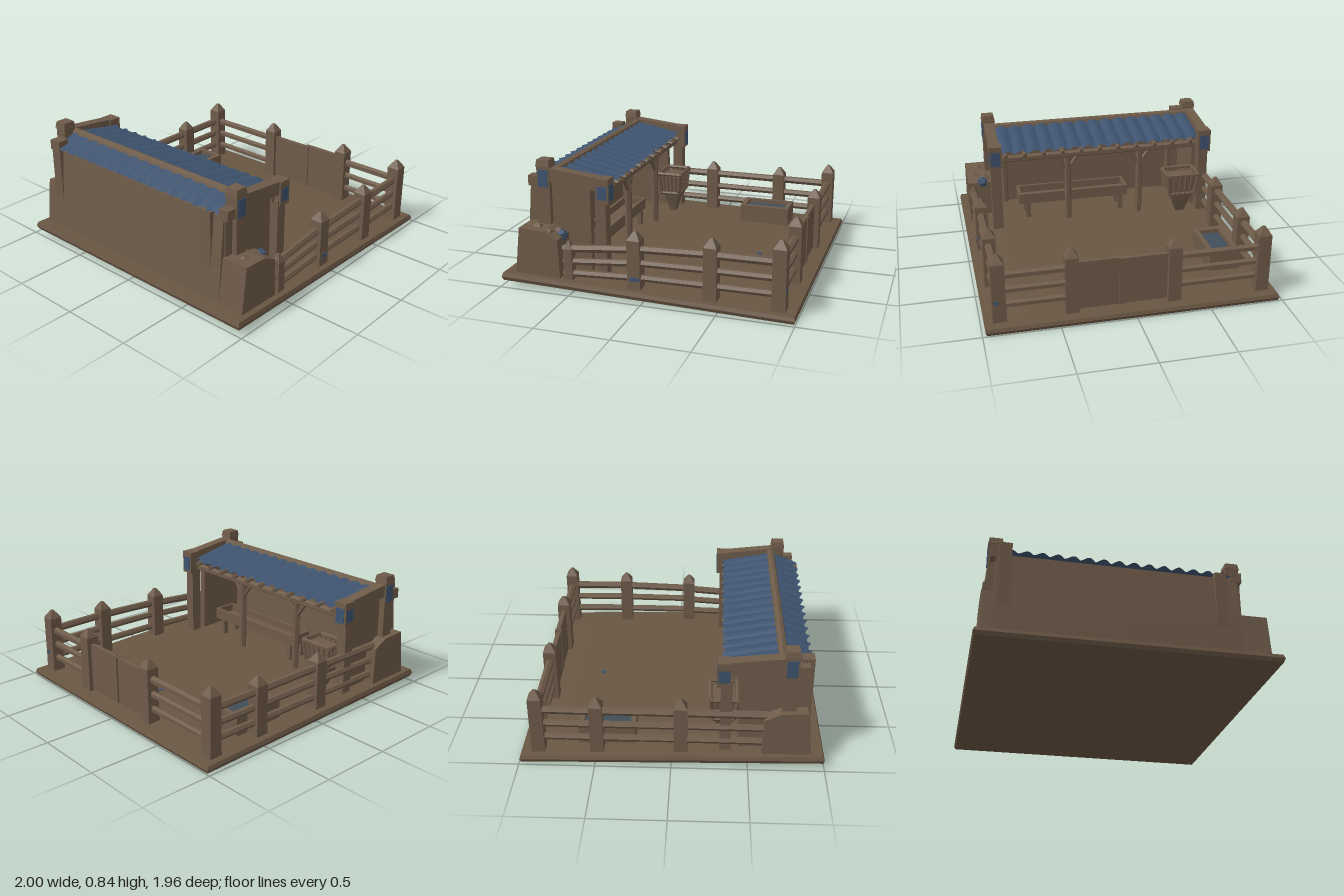
import * as THREE from 'three';

const mat = (name, color, opts = {}) => {
  const m = new THREE.MeshStandardMaterial({ color, ...opts });
  m.name = name;
  return m;
};

export function createModel() {
  const root = new THREE.Group();
  root.name = 'stableYard';
  const wood = mat('brown wood', 0x6e5b49, { flatShading: true });
  const earth = mat('brown earth', 0x695643, { flatShading: true });
  const blue = mat('blue roof', 0x3e536f, { side: THREE.DoubleSide });
  const water = mat('grey blue water', 0x414f5a);

  const ground = x => 0.077 - 0.024 * x;

  const add = (name, geo, m, x = 0, y = 0, z = 0) => {
    const mesh = new THREE.Mesh(geo, m);
    mesh.name = name;
    mesh.position.set(x, y, z);
    root.add(mesh);
    return mesh;
  };
  // box given by its limits
  const block = (name, x0, x1, y0, y1, z0, z1, m = wood) =>
    add(name, new THREE.BoxGeometry(x1 - x0, y1 - y0, z1 - z0), m, (x0 + x1) / 2, (y0 + y1) / 2, (z0 + z1) / 2);
  // block whose top is scaled by a factor
  const tapered = (name, x0, x1, y0, y1, z0, z1, kx, kz) => {
    const mesh = block(name, x0, x1, y0, y1, z0, z1);
    const p = mesh.geometry.attributes.position;
    for (let i = 0; i < p.count; i++)
      if (p.getY(i) > 0) p.setXYZ(i, p.getX(i) * kx, p.getY(i), p.getZ(i) * kz);
    mesh.geometry.computeVertexNormals();
    return mesh;
  };
  // x-y profile swept along z
  const sweep = (name, pts, z0, z1) => {
    const shape = new THREE.Shape(pts.map(p => new THREE.Vector2(...p)));
    return add(name, new THREE.ExtrudeGeometry(shape, { depth: z1 - z0, bevelEnabled: false }), wood, 0, 0, z0);
  };
  // round log between two points
  const log = (name, a, b, r, sides = 6) => {
    const A = new THREE.Vector3(...a), B = new THREE.Vector3(...b), d = B.clone().sub(A);
    const mesh = add(name, new THREE.CylinderGeometry(r, r, d.length(), sides), wood);
    mesh.position.copy(A).add(B).multiplyScalar(0.5);
    mesh.quaternion.setFromUnitVectors(new THREE.Vector3(0, 1, 0), d.normalize());
    return mesh;
  };
  // square post with a pointed top
  const post = (name, x, z, top, w = 0.088, tip = 0.055) => {
    const y0 = ground(x) - 0.02, h = top - y0, r = w * Math.SQRT1_2;
    const pts = [[0, 0], [r * 1.04, 0], [r, 0.1], [r, h - tip], [r * 0.2, h], [0, h]];
    const geo = new THREE.LatheGeometry(pts.map(p => new THREE.Vector2(...p)), 4, Math.PI / 4);
    return add(name, geo, wood, x, y0, z);
  };

  // ground slab, sloping gently down towards +x, with a softened rim
  const slab = new THREE.BoxGeometry(1.98, 1, 1.94, 8, 2, 8);
  const sp = slab.attributes.position;
  for (let i = 0; i < sp.count; i++) {
    const x = sp.getX(i), y = sp.getY(i), z = sp.getZ(i);
    const bottom = 0.02 - 0.02 * x;
    const rim = Math.abs(x) > 0.95 || Math.abs(z) > 0.95;
    const top = ground(x) - (rim ? 0.008 : 0);
    const s = y === 0 ? 1.01 : 1;
    sp.setXYZ(i, x * s, y > 0 ? top : y < 0 ? bottom : (top + bottom) / 2, z * s);
  }
  slab.computeVertexNormals();
  add('groundSlab', slab, earth);

  // fence posts
  [[0.88, 0.88, 0.51], [0.88, -0.88, 0.51], [0.88, 0.41, 0.50], [0.88, -0.27, 0.49],
    [0.44, 0.885, 0.47], [-0.07, 0.885, 0.46], [0.49, -0.88, 0.46], [-0.06, -0.88, 0.46]]
    .forEach(([x, z, t]) => post('fencePost', x, z, t));
  post('shortFencePost', -0.53, 0.9, 0.35, 0.06);

  // fence rails, three per bay, given by their heights at each end
  const level = [0.36, 0.255, 0.15];
  const rails = (x0, z0, x1, z1, from = level, to = level) => from.forEach((y, i) =>
    log('fenceRail', [x0, y, z0], [x1, to[i], z1], i ? 0.024 : 0.027));
  rails(0.44, 0.89, 0.88, 0.88);
  rails(-0.07, 0.89, 0.44, 0.885, [0.34, 0.245, 0.145]);
  rails(-0.57, 0.9, -0.07, 0.885, [0.29, 0.2, 0.12], [0.335, 0.24, 0.14]);
  rails(0.49, -0.885, 0.88, -0.88);
  rails(-0.06, -0.885, 0.49, -0.885);
  rails(-0.62, -0.89, -0.06, -0.885);
  rails(0.88, 0.41, 0.88, 0.88);
  rails(0.88, -0.88, 0.88, -0.27);

  // double gate on the +x side
  block('gateLeaf', 0.865, 0.895, 0.06, 0.40, 0.085, 0.375);
  block('gateLeaf', 0.86, 0.89, 0.06, 0.39, -0.235, 0.08);
  block('gateStile', 0.855, 0.902, 0.06, 0.395, 0.06, 0.1);

  // water trough: four sides and water
  block('troughSide', 0.24, 0.62, 0.05, 0.20, -0.83, -0.795);
  block('troughSide', 0.24, 0.62, 0.05, 0.20, -0.65, -0.615);
  block('troughEnd', 0.24, 0.275, 0.05, 0.20, -0.795, -0.65);
  block('troughEnd', 0.585, 0.62, 0.05, 0.20, -0.795, -0.65);
  block('troughWater', 0.275, 0.585, 0.165, 0.172, -0.795, -0.65, water);

  // battered rear wall, lower at both ends, with corner stubs and end walls
  sweep('rearWall', [[-0.915, 0.08], [-0.79, 0.08], [-0.81, 0.68], [-0.868, 0.68], [-0.892, 0.41]], -0.86, 0.74);
  [[0.74, 0.93], [-0.94, -0.86]].forEach(([z0, z1]) =>
    sweep('cornerStub', [[-0.915, 0.08], [-0.59, 0.08], [-0.60, 0.35], [-0.70, 0.40], [-0.875, 0.41]], z0, z1));
  block('frontEndWall', -0.86, -0.435, 0.08, 0.71, 0.70, 0.75);
  block('backEndWall', -0.86, -0.435, 0.08, 0.71, -0.86, -0.81);
  block('rearCornerPost', -0.90, -0.82, 0.08, 0.755, -0.84, -0.76);
  block('rearCornerPost', -0.90, -0.82, 0.08, 0.70, 0.58, 0.66);

  // loose stones on the front stub
  [[-0.78, 0.38, 0.84, 0.045], [-0.69, 0.36, 0.87, 0.045], [-0.65, 0.35, 0.80, 0.045]].forEach(([x, y, z, r]) =>
    add('stone', new THREE.DodecahedronGeometry(r), wood, x, y, z));
  add('blueStone', new THREE.DodecahedronGeometry(0.04), blue, -0.615, 0.35, 0.82);

  // roof trestles at each end: ridge post, eave post and sloping top beam
  [[0.74, 1], [-0.86, -1]].forEach(([z, s]) => {
    block('ridgePost', -0.80, -0.71, 0.08, 0.83, z - 0.045, z + 0.045);
    tapered('ridgePostCap', -0.805, -0.705, 0.80, 0.845, z - 0.05, z + 0.05, 0.85, 0.85);
    block('eavePost', -0.39, -0.315, 0.08, 0.62, z - 0.037, z + 0.037);
    block('eavePostHead', -0.38, -0.29, 0.58, 0.75, z - 0.048, z + 0.048);
    const beam = block('topBeam', -0.74, -0.33, 0.68, 0.77, z - 0.037, z + 0.037);
    beam.rotation.z = -0.11;
    block('rearBeam', -0.87, -0.78, 0.66, 0.73, z - 0.035, z + 0.035);
    // worn blue paint on the post heads
    const f = z + s * 0.047;
    block('ridgePostPaint', -0.79, -0.72, 0.66, 0.78, f - 0.003, f + 0.003, blue);
    block('eaveHeadPaint', -0.37, -0.30, 0.61, 0.70, f - 0.003, f + 0.003, blue);
    block('eaveHeadSidePaint', -0.293, -0.287, 0.60, 0.71, z - 0.035, z + 0.035, blue);
  });

  // small paint spots on the fence and the ground
  block('fencePaint', -0.095, -0.03, 0.13, 0.155, 0.926, 0.933, blue);
  block('fencePaint', 0.921, 0.928, 0.175, 0.20, 0.88, 0.91, blue);
  add('groundSpot', new THREE.CylinderGeometry(0.02, 0.02, 0.006, 8), blue, 0.55, ground(0.55) + 0.002, 0.03);

  // ridge log, purlin and rafters
  log('ridgeLog', [-0.70, 0.757, -0.84], [-0.70, 0.757, 0.74], 0.032, 8);
  log('eavePurlin', [-0.38, 0.62, -0.86], [-0.38, 0.62, 0.74], 0.027);
  for (let i = 0; i < 11; i++) {
    const z = -0.76 + i * 0.142;
    log('rafter', [-0.68, 0.72, z], [-0.325, 0.655, z], 0.016);
  }

  // corrugated roof slopes with ragged eaves
  const slope = (name, xa, ya, xb, yb) => {
    const nx = 4, nz = 140, z0 = -0.83, z1 = 0.70;
    const geo = new THREE.PlaneGeometry(1, 1, nx, nz);
    const p = geo.attributes.position;
    for (let i = 0; i < p.count; i++) {
      const u = p.getX(i) + 0.5, v = p.getY(i) + 0.5;
      const wave = Math.abs(Math.sin(v * Math.PI * 15));
      const ragged = u === 1 ? 0.012 * Math.sin(v * 97) : 0;
      p.setXYZ(i, xa + (xb - xa) * u + ragged, ya + (yb - ya) * u + 0.016 * wave,
        z0 + (z1 - z0) * v);
    }
    // keep the faces pointing upwards on both sides of the ridge
    if (xb > xa) geo.index.array.reverse();
    geo.computeVertexNormals();
    return add(name, geo, blue);
  };
  slope('frontRoofSlope', -0.70, 0.76, -0.335, 0.69);
  slope('frontRoofUnderlay', -0.70, 0.738, -0.345, 0.667);
  slope('rearRoofSlope', -0.70, 0.76, -0.89, 0.69);

  // inner posts with forked braces, and slimmer wall posts
  [0.19, -0.37].forEach(z => {
    log('innerPost', [-0.39, 0.08, z], [-0.39, 0.61, z], 0.026);
    [-1, 1].forEach(s => log('brace', [-0.39, 0.49, z], [-0.39, 0.60, z + s * 0.08], 0.015));
  });
  [0.63, -0.72].forEach(z => log('wallPost', [-0.78, 0.08, z], [-0.78, 0.68, z], 0.025));

  // feeding bench along the shelter
  block('benchFloor', -0.62, -0.44, 0.21, 0.235, -0.29, 0.56);
  [-0.62, -0.46].forEach(x => block('benchSide', x, x + 0.02, 0.21, 0.29, -0.29, 0.56));
  [-0.29, 0.54].forEach(z => block('benchEnd', -0.62, -0.44, 0.21, 0.29, z, z + 0.02));
  [-0.24, 0.49].forEach(z => [-0.59, -0.47].forEach(x =>
    block('benchLeg', x - 0.018, x + 0.018, 0.08, 0.21, z - 0.018, z + 0.018)));

  // slatted hay rack on a wedge-shaped foot
  const corner = (sx, sz, t) => [-0.34 + sx * (0.07 + 0.02 * t), 0.25 + 0.16 * t, -0.69 + sz * (0.10 + 0.02 * t)];
  const ring = [[1, 1], [-1, 1], [-1, -1], [1, -1]];
  ring.forEach(([ax, az], k) => {
    const [bx, bz] = ring[(k + 1) % 4];
    log('rackCorner', corner(ax, az, 0), corner(ax, az, 1), 0.014);
    [0, 1].forEach(t => log('rackRail', corner(ax, az, t), corner(bx, bz, t), 0.014));
    for (let j = 1; j < 5; j++) {
      const f = j / 5, mx = ax + (bx - ax) * f, mz = az + (bz - az) * f;
      log('rackSlat', corner(mx, mz, 0), corner(mx, mz, 1), 0.009);
    }
  });
  tapered('rackHay', -0.40, -0.28, 0.25, 0.385, -0.78, -0.60, 1.2, 1.2);
  tapered('rackFoot', -0.36, -0.32, 0.08, 0.25, -0.72, -0.66, 3, 3);

  return root;
}
